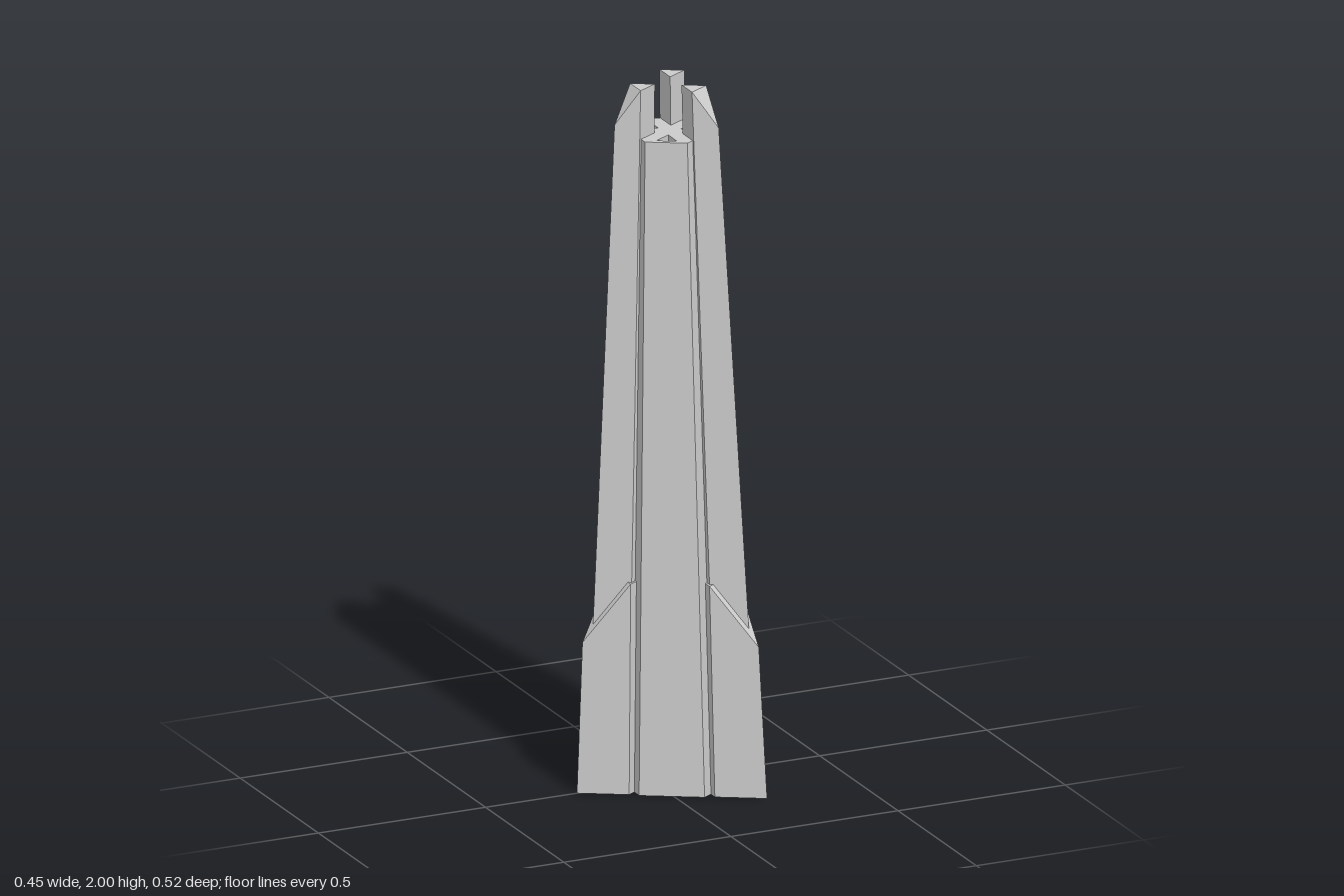
import * as THREE from 'three';

const CORE_TOP = 1.86;
const TURN = (Math.PI * 2) / 3;
const mix = (a, b, t) => a + (b - a) * t;

// Point at distance r along a heading and w across it; the axis leans slightly with height
function point(angle, r, w, y) {
  const c = Math.cos(angle), s = Math.sin(angle);
  return [0.072 - 0.0118 * y + r * c - w * s, y, r * s + w * c];
}

// Skin between two rings, closed at the bottom and optionally at the top
function loft(low, high, capTop = true) {
  const n = low.length, pos = [];
  const tri = (a, b, c) => pos.push(...a, ...b, ...c);
  for (let i = 0; i < n; i++) {
    const j = (i + 1) % n;
    tri(low[i], high[i], low[j]);
    tri(low[j], high[i], high[j]);
  }
  for (let i = 1; i < n - 1; i++) {
    const a = (1 + i) % n, b = (2 + i) % n;
    tri(low[1], low[a], low[b]);
    if (capTop) tri(high[1], high[b], high[a]);
  }
  const geo = new THREE.BufferGeometry();
  geo.setAttribute('position', new THREE.Float32BufferAttribute(pos, 3));
  geo.computeVertexNormals();
  return geo;
}

// Diamond-section fin with 60 degree edges; its outer half is chamfered at the top
function finGeometry(angle, base, top, height, chamferY) {
  const ring = (yOuter, y) => {
    const section = (h) => {
      const t = h / height;
      return { mid: mix(base.mid, top.mid, t), half: mix(base.half, top.half, t) };
    };
    const o = section(yOuter), s = section(y), w = s.half / Math.sqrt(3);
    return [
      point(angle, o.mid + o.half, 0, yOuter),
      point(angle, s.mid, w, y),
      point(angle, s.mid - s.half, 0, y),
      point(angle, s.mid, -w, y),
    ];
  };
  return loft(ring(0, 0), ring(chamferY, height));
}

export function createModel() {
  const group = new THREE.Group();
  const material = new THREE.MeshStandardMaterial({ color: 0xcccccc, flatShading: true });
  const add = (name, geo) => {
    const mesh = new THREE.Mesh(geo, material);
    mesh.name = name;
    group.add(mesh);
  };

  // Tapered hexagonal core
  const hexagon = (r, y) =>
    Array.from({ length: 6 }, (_, i) => point(Math.PI / 6 + (i * Math.PI) / 3, r, 0, y));
  const rim = hexagon(0.115, CORE_TOP);
  add('core', loft(hexagon(0.178, 0), rim, false));

  // Roof with three triangular recesses
  const flat = (ring) => ring.map(([x, , z]) => new THREE.Vector2(x, -z));
  const roof = new THREE.Shape(flat(rim));
  for (let i = 0; i < 3; i++) {
    const recess = (y) => [[0.035, 0], [0.085, -0.028], [0.085, 0.028]]
      .map(([r, w]) => point(i * TURN, r, w, y))
      .reverse();
    const edge = recess(CORE_TOP);
    const floor = edge.map(([x, y, z]) => [x, y - 0.02, z]);
    roof.holes.push(new THREE.Path(flat(edge)));
    add('roofRecess', loft(floor, edge, false));
  }
  add('roof', new THREE.ShapeGeometry(roof).rotateX(-Math.PI / 2).translate(0, CORE_TOP, 0));

  // Three tall fins, each with a wider buttress around its foot
  for (let i = 0; i < 3; i++) {
    const angle = Math.PI + i * TURN;
    add('tallFin', finGeometry(angle, { mid: 0.173, half: 0.099 }, { mid: 0.1, half: 0.058 }, 2, 1.9));
    add('buttress', finGeometry(angle, { mid: 0.1755, half: 0.123 }, { mid: 0.16, half: 0.1085 }, 0.6, 0.43));
  }
  return group;
}
